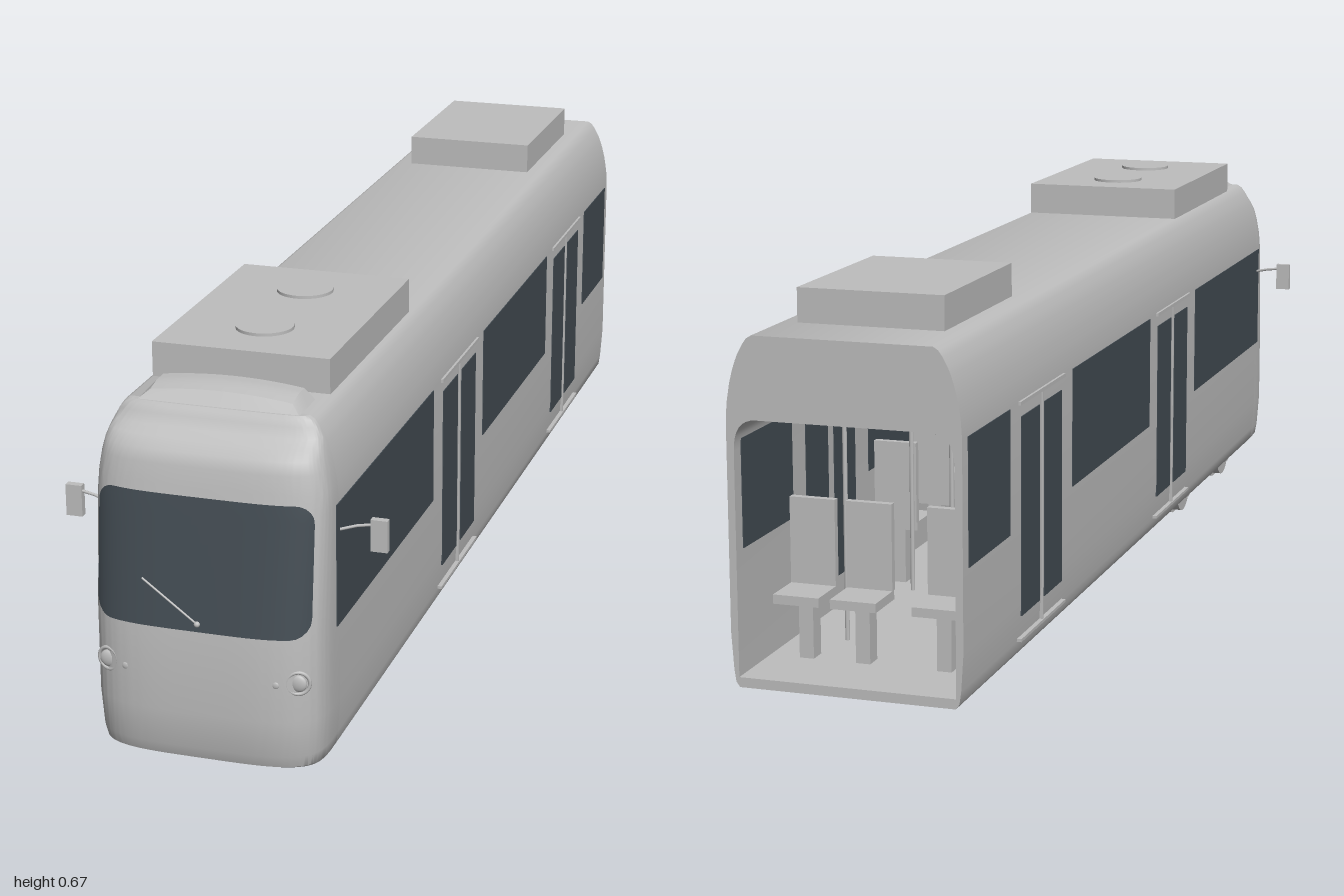
import * as THREE from 'three';
import { toCreasedNormals } from 'three/addons/utils/BufferGeometryUtils.js';

const grey = new THREE.MeshStandardMaterial({ color: 0xbebebe });
grey.name = 'bodyGrey';
const glass = new THREE.MeshStandardMaterial({ color: 0x434c53, side: THREE.DoubleSide });
glass.name = 'darkGlass';

// Body section: height, half width, and front reach of the nose
const NOSE = 0.88;
const ROWS = [
  [0.052, 0.176, 0.975], [0.06, 0.182, 0.99], [0.08, 0.185, 0.997], [0.14, 0.189, 1.0], [0.28, 0.189, 0.998],
  [0.47, 0.189, 0.968], [0.5, 0.187, 0.963], [0.53, 0.182, 0.958], [0.55, 0.177, 0.952], [0.565, 0.172, 0.935],
  [0.575, 0.168, 0.915], [0.59, 0.16, 0.905], [0.6, 0.153, 0.9], [0.605, 0.145, 0.895],
];

// Depth of the nose surface at a given x, y
function noseZ(x, y) {
  let i = 0;
  while (i < ROWS.length - 2 && ROWS[i + 1][0] < y) i++;
  const [a, b] = [ROWS[i], ROWS[i + 1]];
  const t = (y - a[0]) / (b[0] - a[0]);
  const w = a[1] + (b[1] - a[1]) * t, f = a[2] + (b[2] - a[2]) * t;
  return NOSE + (f - NOSE) * Math.pow(Math.max(0, 1 - Math.pow(Math.abs(x) / w, 4)), 0.25);
}

// Surface through a grid of points, rows upward and columns toward +x
function gridGeometry(rows, cols, point) {
  const pos = [], idx = [];
  for (let i = 0; i <= rows; i++) for (let j = 0; j <= cols; j++) pos.push(...point(i, j));
  for (let i = 0; i < rows; i++) for (let j = 0; j < cols; j++) {
    const a = i * (cols + 1) + j, d = a + cols + 1;
    idx.push(a, a + 1, d + 1, a, d + 1, d);
  }
  const g = new THREE.BufferGeometry();
  g.setAttribute('position', new THREE.Float32BufferAttribute(pos, 3));
  g.setIndex(idx);
  return g;
}

function add(parent, name, geometry, material, x = 0, y = 0, z = 0) {
  const m = new THREE.Mesh(geometry, material);
  m.name = name;
  m.position.set(x, y, z);
  parent.add(m);
  return m;
}

// Box given by its limits
function block(parent, name, mat, x0, x1, y0, y1, z0, z1) {
  return add(parent, name, new THREE.BoxGeometry(Math.abs(x1 - x0), y1 - y0, z1 - z0), mat,
    (x0 + x1) / 2, (y0 + y1) / 2, (z0 + z1) / 2);
}

function rod(parent, name, points, r) {
  const path = new THREE.CurvePath();
  for (let i = 0; i + 1 < points.length; i++)
    path.add(new THREE.LineCurve3(new THREE.Vector3(...points[i]), new THREE.Vector3(...points[i + 1])));
  return add(parent, name, new THREE.TubeGeometry(path, points.length * 4, r, 8), grey);
}

// Lower half of a wheel-like disc lying along x
function halfDisc(parent, name, r, width, x, z) {
  const g = new THREE.CylinderGeometry(r, r, width, 24, 1, false, Math.PI, Math.PI).rotateZ(Math.PI / 2);
  add(parent, name, g, grey, x, 0.054, z);
}

function seat(parent, x, z, dir) {
  const s = new THREE.Group();
  s.name = 'seat';
  block(s, 'cushion', grey, -0.038, 0.038, 0.165, 0.18, -0.04, 0.04);
  block(s, 'backrest', grey, -0.038, 0.038, 0.18, 0.32, 0.032, 0.044);
  block(s, 'seatLeg', grey, -0.012, 0.012, 0.068, 0.165, 0, 0.03);
  s.position.set(x, 0, z);
  if (dir > 0) s.rotation.y = Math.PI;
  parent.add(s);
}

export function createModel() {
  const tram = new THREE.Group();
  tram.name = 'tram';

  // Hollow body, open at the rear
  const outline = new THREE.Shape();
  ROWS.forEach(([y, w], i) => (i ? outline.lineTo(w, y) : outline.moveTo(w, y)));
  [...ROWS].reverse().forEach(([y, w]) => outline.lineTo(-w, y));
  const hole = new THREE.Path();
  hole.moveTo(-0.177, 0.068);
  hole.lineTo(0.177, 0.068);
  hole.lineTo(0.177, 0.425);
  hole.quadraticCurveTo(0.177, 0.475, 0.14, 0.475);
  hole.lineTo(-0.14, 0.475);
  hole.quadraticCurveTo(-0.177, 0.475, -0.177, 0.425);
  outline.holes.push(hole);
  const shell = new THREE.ExtrudeGeometry(outline, { depth: 1 + NOSE, bevelEnabled: false, curveSegments: 8 });
  add(tram, 'bodyShell', toCreasedNormals(shell, 0.6), grey, 0, 0, -1);
  block(tram, 'cabBulkhead', grey, -0.18, 0.18, 0.066, 0.477, NOSE - 0.02, NOSE - 0.01);

  // Rounded nose, closed above and below
  const noseRows = [[ROWS[0][0], ROWS[0][1], NOSE], ...ROWS, [0.605, 0.145, NOSE]];
  const cols = 64;
  const nose = gridGeometry(noseRows.length - 1, cols, (i, j) => {
    const [y, w, f] = noseRows[i];
    const t = (j / cols - 0.5) * Math.PI, s = Math.sin(t);
    return [w * Math.sign(s) * Math.sqrt(Math.abs(s)), y,
      NOSE + (f - NOSE) * Math.sqrt(Math.max(0, Math.cos(t)))];
  });
  add(tram, 'nose', toCreasedNormals(nose, 0.7), grey);

  // Windscreen with rounded corners
  const n = 20, r = 0.028, yLow = 0.28, yHigh = 0.487;
  const screen = gridGeometry(n, 40, (i, j) => {
    const y = yLow + (yHigh - yLow) * (0.5 - 0.5 * Math.cos((Math.PI * i) / n));
    const d = Math.max(0, yLow + r - y, y - yHigh + r);
    const half = 0.173 - r + Math.sqrt(Math.max(0, r * r - d * d));
    const x = half * Math.sin((j / 40 - 0.5) * Math.PI);
    return [x * 1.005, y, noseZ(x, y) + 0.004];
  });
  screen.computeVertexNormals();
  add(tram, 'windscreen', screen, glass);

  // Wiper
  rod(tram, 'wiper', [[0, 0.292, 1.0], [-0.09, 0.355, 0.994]], 0.0017);
  add(tram, 'wiperPivot', new THREE.SphereGeometry(0.005, 12, 8), grey, 0, 0.292, 1.0);

  for (const s of [-1, 1]) {
    const side = new THREE.Group();
    side.name = s > 0 ? 'leftSide' : 'rightSide';
    tram.add(side);

    // Side windows and door panes, seen from outside and inside
    const pane = (name, z0, z1, y0, y1) => {
      block(side, name, glass, s * 0.188, s * 0.1905, y0, y1, z0, z1);
      block(side, name + 'Inner', glass, s * 0.1755, s * 0.178, y0, Math.min(y1, 0.44), z0, Math.min(z1, 0.85));
    };
    for (const [z0, z1] of [[0.36, 0.895], [-0.45, 0.03], [-0.975, -0.78]]) pane('sideWindow', z0, z1, 0.267, 0.468);
    for (const z of [0.193, -0.617]) {
      pane('doorPane', z + 0.012, z + 0.105, 0.12, 0.445);
      pane('doorPane', z - 0.107, z - 0.014, 0.12, 0.445);
      block(side, 'doorTopRail', grey, s * 0.186, s * 0.193, 0.465, 0.471, z - 0.118, z + 0.118);
      block(side, 'doorSill', grey, s * 0.18, s * 0.193, 0.08, 0.085, z - 0.118, z + 0.118);
      block(side, 'doorSeam', grey, s * 0.186, s * 0.1915, 0.085, 0.465, z - 0.002, z + 0.002);
    }

    // Mirror on its arm
    block(side, 'mirror', grey, s * 0.237, s * 0.264, 0.39, 0.442, 0.862, 0.874);
    rod(side, 'mirrorArm', [[s * 0.186, 0.422, 0.88], [s * 0.215, 0.429, 0.872], [s * 0.245, 0.433, 0.868]], 0.0025);

    // Headlight and small marker lamp
    const lamp = (name, x, y, rad) => {
      const m = add(side, name, new THREE.SphereGeometry(rad, 24, 12), grey, s * x, y, noseZ(x, y) - 0.001);
      m.scale.z = 0.4;
      return m;
    };
    lamp('headlight', 0.155, 0.206, 0.014);
    add(side, 'headlightRim', new THREE.TorusGeometry(0.018, 0.003, 8, 28), grey, s * 0.155, 0.206, noseZ(0.155, 0.206) - 0.001)
      .rotation.y = s * 0.3;
    lamp('markerLamp', 0.122, 0.203, 0.006);

    // Wheels, brake discs and axle boxes
    for (const z of [0.76, 0.435]) {
      halfDisc(side, 'wheelTread', 0.048, 0.026, s * 0.137, z);
      halfDisc(side, 'wheelFlange', 0.054, 0.007, s * 0.128, z);
      halfDisc(side, 'wheelHub', 0.02, 0.012, s * 0.155, z);
      halfDisc(side, 'brakeDisc', 0.032, 0.008, s * 0.088, z);
    }
    for (const z of [0.68, 0.51]) block(side, 'axleBox', grey, s * 0.125, s * 0.165, 0.042, 0.056, z - 0.02, z + 0.02);
  }

  // Axles and cross beams under the floor
  for (const z of [0.76, 0.435]) halfDisc(tram, 'axle', 0.01, 0.25, 0, z);
  for (const z of [0.68, 0.51]) block(tram, 'crossBeam', grey, -0.075, 0.075, 0.035, 0.056, z - 0.018, z + 0.018);

  // Roof units and fans
  block(tram, 'frontRoofUnit', grey, -0.146, 0.146, 0.6, 0.662, 0.36, 0.787);
  block(tram, 'rearRoofUnit', grey, -0.12, 0.12, 0.6, 0.66, -0.88, -0.56);
  for (const z of [0.67, 0.47])
    add(tram, 'roofFan', new THREE.CylinderGeometry(0.047, 0.047, 0.005, 32), grey, 0, 0.6645, z);

  // Tapered fairing on the front of the roof
  const fairing = new THREE.BoxGeometry(0.27, 0.03, 0.08, 16, 1, 4);
  const p = fairing.attributes.position;
  for (let i = 0; i < p.count; i++) if (p.getY(i) > 0) {
    const u = p.getX(i) / 0.135, v = p.getZ(i) / 0.04;
    p.setXYZ(i, u * 0.115, 0.015 - 0.008 * u * u - 0.006 * Math.max(0, v), v * 0.028 - 0.008);
  }
  fairing.computeVertexNormals();
  add(tram, 'roofFairing', fairing, grey, 0, 0.616, 0.855);

  // Seats and handrails
  for (const [z, dir] of [[-0.88, -1], [-0.4, 1], [-0.22, 1], [-0.04, -1], [0.42, 1], [0.6, -1]])
    for (const x of z === -0.88 ? [0.115, 0.02, -0.115] : [0.13, -0.13]) seat(tram, x, z, dir);
  for (const x of [-0.09, 0.09]) {
    rod(tram, 'handrail', [[x, 0.44, -0.85], [x, 0.44, 0.8]], 0.004);
    for (const z of [-0.77, -0.47, 0.05, 0.34]) rod(tram, 'grabPole', [[x, 0.068, z], [x, 0.475, z]], 0.004);
  }
  return tram;
}
